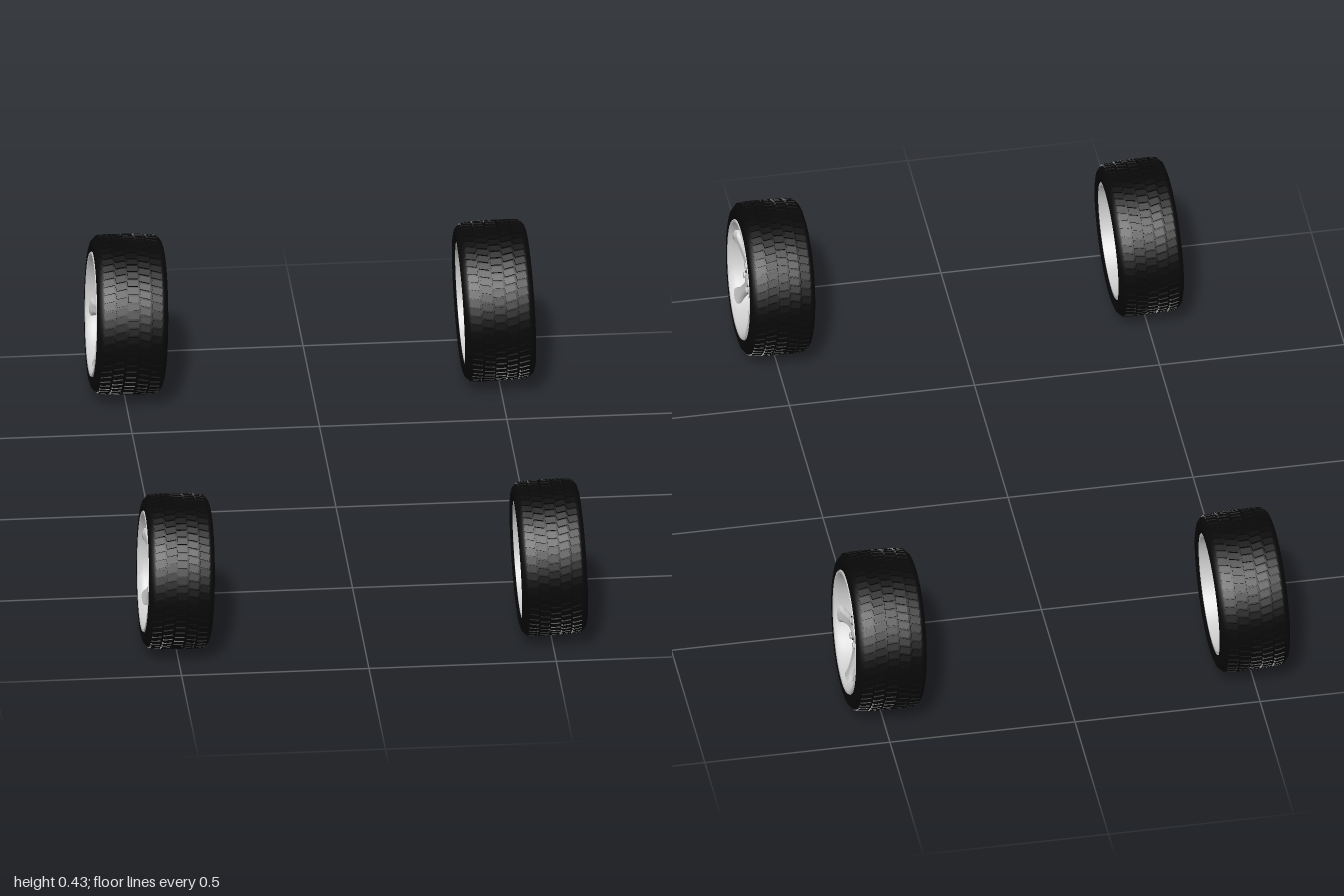
import * as THREE from 'three';
import { mergeGeometries, mergeVertices, toCreasedNormals } from 'three/addons/utils/BufferGeometryUtils.js';

const mat = (color, extra = {}) => new THREE.MeshStandardMaterial({ color, ...extra });
const rubber = mat(0x080808);
const grey = mat(0xcccccc);
const greyThin = mat(0xcccccc, { side: THREE.DoubleSide });
const red = mat(0xc00a14);
const dark = mat(0x222222);

function add(parent, name, geometry, material) {
  const mesh = new THREE.Mesh(geometry, material);
  mesh.name = name;
  parent.add(mesh);
  return mesh;
}

// Revolve [radius, axial] points about the x axle; +x is the outer face.
function revolve(points, segments = 72) {
  const g = new THREE.LatheGeometry(points.map(p => new THREE.Vector2(p[0], p[1])), segments);
  return toCreasedNormals(g.rotateZ(-Math.PI / 2), 0.6);
}

// Cylinder along the axle, at a radius and angle from straight up.
function peg(radius, length, x, r = 0, angle = 0, sides = 16) {
  return new THREE.CylinderGeometry(radius, radius, length, sides)
    .rotateZ(-Math.PI / 2).translate(x, r, 0).rotateX(angle);
}

// Tyre carcass with staggered tread blocks
function buildTyre(group, R, h) {
  const half = [[R - 0.005, 0.78 * h], [R - 0.008, 0.88 * h], [R - 0.016, 0.96 * h],
    [R - 0.028, h], [R - 0.04, 0.985 * h], [R - 0.05, 0.92 * h]];
  const mirrored = half.map(([r, y]) => [r, -y]).reverse();
  add(group, 'tyre', revolve([...mirrored, ...half]), rubber);

  const blocks = [], count = 60, rows = 5, pitch = 1.68 * h / rows;
  for (let row = 0; row < rows; row++) {
    const k = row - 2, shoulder = Math.abs(k) === 2;
    for (let i = 0; i < count; i++) {
      const b = new THREE.BoxGeometry(pitch * 0.86, 0.01, 0.0165);
      b.rotateY(k === 0 ? 0 : Math.sign(k) * 0.22);
      if (shoulder) b.rotateZ(-Math.sign(k) * 0.1);
      b.translate(k * pitch, R - (shoulder ? 0.0065 : 0.005), 0);
      blocks.push(b.rotateX((i + (row % 2) / 2) * 2 * Math.PI / count));
    }
  }
  add(group, 'treadBlocks', mergeGeometries(blocks), rubber);
}

// One spoke: a cylinder reshaped into a rounded, curved, flaring bar
function spokeGeometry(s, h) {
  const widths = [0.026, 0.021, 0.0165, 0.0145, 0.0145, 0.0165, 0.023];
  const g = new THREE.CylinderGeometry(1, 1, 1, 16, 18, false);
  g.deleteAttribute('uv');
  const p = g.attributes.position;
  for (let i = 0; i < p.count; i++) {
    const t = p.getY(i) + 0.5, f = t * (widths.length - 1);
    const n = Math.min(Math.floor(f), widths.length - 2);
    const w = THREE.MathUtils.lerp(widths[n], widths[n + 1], f - n);
    const soft = v => Math.sign(v) * Math.pow(Math.abs(v), 0.75);
    const centre = h - 0.04 + 0.02 * t * t;
    p.setXYZ(i, centre + soft(p.getX(i)) * 0.0105, s * (0.018 + t * 0.128), soft(p.getZ(i)) * w * s);
  }
  g.deleteAttribute('normal');
  return toCreasedNormals(mergeVertices(g, 1e-5), 0.9);
}

// Rim barrel, five spokes, hub, nuts and valve
function buildRim(group, s, h, turn) {
  const profile = [[0.150, -0.93], [0.159, -0.93], [0.159, -0.86], [0.150, -0.78], [0.149, 0.78],
    [0.158, 0.9], [0.162, 0.96], [0.160, 1.0], [0.154, 0.99], [0.149, 0.92], [0.147, 0.8],
    [0.145, 0.3], [0.143, -0.3], [0.146, -0.7], [0.150, -0.93]];
  add(group, 'rimBarrel', revolve(profile.map(([r, y]) => [r * s, y * h])), greyThin);

  const star = new THREE.Group();
  star.name = 'spokes';
  star.rotation.x = turn;
  group.add(star);
  const spoke = spokeGeometry(s, h);
  for (let i = 0; i < 5; i++) {
    const a = i * 2 * Math.PI / 5;
    add(star, 'spoke', spoke, grey).rotation.x = a;
    add(star, 'wheelNut', peg(0.0085 * s, 0.012, h - 0.027, 0.036 * s, a + Math.PI / 5, 6), grey);
    add(star, 'nutSeat', peg(0.0115 * s, 0.004, h - 0.029, 0.036 * s, a + Math.PI / 5), dark);
  }
  add(star, 'hub', revolve([[0, h - 0.055], [0.048 * s, h - 0.055], [0.050 * s, h - 0.036],
    [0.046 * s, h - 0.030], [0, h - 0.029]], 40), grey);
  add(star, 'centreCap', revolve([[0.016 * s, h - 0.032], [0.016 * s, h - 0.024],
    [0.012 * s, h - 0.021], [0, h - 0.020]], 24), grey);
  // valve stands radially on the barrel wall
  const valve = new THREE.CylinderGeometry(0.0035, 0.0035, 0.01, 10)
    .translate(0.55 * h, 0.142 * s, 0).rotateX(-Math.PI * 3 / 5);
  add(star, 'valve', valve, dark);
}

// Vented disc: two faces, vanes and a central bell
function buildDisc(group, s, h) {
  const disc = new THREE.Group();
  disc.name = 'brakeDisc';
  group.add(disc);
  for (const x of [0.004, 0.016]) {
    add(disc, 'discFace', revolve([[0.05 * s, x - 0.003], [0.112 * s, x - 0.003],
      [0.112 * s, x + 0.003], [0.05 * s, x + 0.003], [0.05 * s, x - 0.003]]), grey);
  }
  const vanes = [];
  for (let i = 0; i < 36; i++) {
    vanes.push(new THREE.BoxGeometry(0.008, 0.05 * s, 0.003)
      .translate(0.01, 0.083 * s, 0).rotateX(i * Math.PI / 18));
  }
  add(disc, 'discVanes', mergeGeometries(vanes), grey);
  add(disc, 'discBell', revolve([[0, -0.008], [0.054 * s, -0.008], [0.06 * s, -0.003],
    [0.06 * s, 0.026], [0.052 * s, h - 0.052], [0, h - 0.052]], 48), grey);
  add(disc, 'hubCarrier', revolve([[0, -0.022], [0.026 * s, -0.022], [0.030 * s, -0.017],
    [0.030 * s, -0.006], [0, -0.006]], 32), grey);
}

// Arc-shaped slab centred on shape angle 0, which ends up toward -z
function arcSlab(r0, r1, span, x0, x1, mid = 0) {
  const shape = new THREE.Shape();
  shape.absarc(0, 0, r1, mid - span, mid + span, false);
  shape.absarc(0, 0, r0, mid + span, mid - span, true);
  const bevel = 0.002;
  return new THREE.ExtrudeGeometry(shape, {
    depth: x1 - x0 - 2 * bevel, bevelThickness: bevel, bevelSize: bevel, bevelSegments: 2, curveSegments: 14,
  }).translate(0, 0, x0 + bevel).rotateY(Math.PI / 2);
}

// Caliper gripping the disc on its rear side
function buildCaliper(group, s, span, flipped) {
  const caliper = new THREE.Group();
  caliper.name = 'brakeCaliper';
  // x rotation carries -z to the chosen side, tipped slightly below the axle
  caliper.rotation.x = flipped ? Math.PI + 0.08 : -0.08;
  group.add(caliper);
  add(caliper, 'outerHalf', arcSlab(0.076 * s, 0.128 * s, span, 0.022, 0.037), red);
  add(caliper, 'innerHalf', arcSlab(0.076 * s, 0.128 * s, span, -0.022, -0.003), red);
  for (const k of [-1, 0, 1]) {
    const mid = k * span * 0.8;
    add(caliper, 'bridge', arcSlab(0.117 * s, 0.130 * s, span * 0.18, -0.02, 0.036, mid), red);
    const a = -Math.PI / 2 + k * span * 0.62;
    add(caliper, 'pistonHousing', peg(0.015 * s, 0.008, -0.025, 0.098 * s, a, 20), red);
    add(caliper, 'pistonCap', peg(0.008 * s, 0.003, -0.030, 0.098 * s, a, 16), grey);
  }
  for (const k of [-1, 1]) {
    add(caliper, 'brakePad', arcSlab(0.078 * s, 0.110 * s, span * 0.8, k < 0 ? -0.004 : 0.018,
      k < 0 ? 0.002 : 0.024), dark);
    add(caliper, 'caliperBolt', peg(0.005 * s, 0.062, 0.007, 0.121 * s, -Math.PI / 2 + k * span * 0.9, 6), grey);
  }
}

function buildWheel({ name, R, h, x, z, turn, span }, side) {
  const wheel = new THREE.Group(), s = R / 0.207, flipped = side < 0;
  wheel.name = name + (flipped ? 'RightWheel' : 'LeftWheel');
  buildTyre(wheel, R, h);
  buildRim(wheel, s, h, turn);
  buildDisc(wheel, s, h);
  buildCaliper(wheel, s, span, flipped);
  wheel.position.set(side * x, R + 0.002, z);
  // the tops lean inward a little on both sides
  wheel.rotation.set(0, flipped ? Math.PI : 0, 0.036);
  return wheel;
}

export function createModel() {
  const model = new THREE.Group();
  model.name = 'wheelSet';
  const axles = [
    { name: 'front', R: 0.207, h: 0.088, x: 0.498, z: 0.793, turn: 0, span: 0.72 },
    { name: 'rear', R: 0.2135, h: 0.095, x: 0.491, z: -0.7865, turn: Math.PI, span: 0.64 },
  ];
  for (const axle of axles) for (const side of [1, -1]) model.add(buildWheel(axle, side));
  return model;
}
